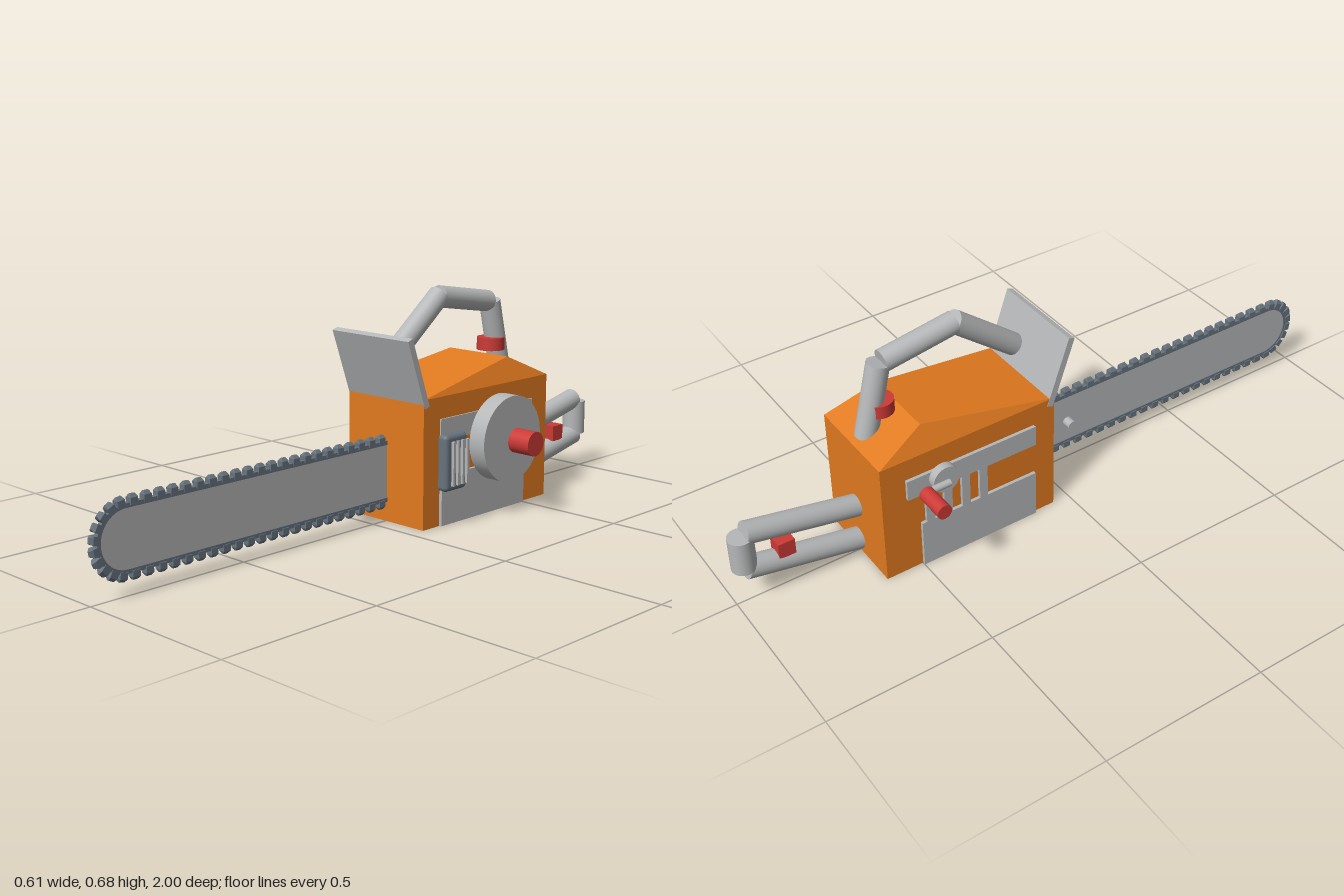
import * as THREE from 'three';
import { RoundedBoxGeometry } from 'three/addons/geometries/RoundedBoxGeometry.js';
import { ConvexGeometry } from 'three/addons/geometries/ConvexGeometry.js';

const paint = (name, color) => Object.assign(new THREE.MeshStandardMaterial({ color }), { name });

export function createModel() {
  const orange = paint('orange casing', 0xe27a20);
  const grey = paint('light grey', 0xb6b7b8);
  const slate = paint('slate steel', 0x67737e);
  const red = paint('red grips', 0xcc3a36);
  const model = new THREE.Group();
  model.name = 'chainsaw';
  const V = (x, y, z) => new THREE.Vector3(x, y, z);

  const add = (name, geometry, material, x = 0, y = 0, z = 0, parent = model) => {
    const mesh = new THREE.Mesh(geometry, material);
    mesh.name = name;
    mesh.position.set(x, y, z);
    parent.add(mesh);
    return mesh;
  };
  // Box given by its limits on each axis
  const block = (name, mat, x0, x1, y0, y1, z0, z1) =>
    add(name, new THREE.BoxGeometry(x1 - x0, y1 - y0, z1 - z0), mat,
      (x0 + x1) / 2, (y0 + y1) / 2, (z0 + z1) / 2);
  // Cylinder from point a to point b
  const rod = (name, mat, a, b, r, sides = 32) => {
    const dir = b.clone().sub(a);
    const mid = a.clone().add(b).multiplyScalar(0.5);
    const mesh = add(name, new THREE.CylinderGeometry(r, r, dir.length(), sides), mat, mid.x, mid.y, mid.z);
    mesh.quaternion.setFromUnitVectors(V(0, 1, 0), dir.normalize());
    return mesh;
  };

  // Casing: box with a narrowed ridge on top
  const corners = [];
  for (const s of [-1, 1]) {
    for (const z of [-0.053, -0.615]) corners.push(V(0.15 * s, 0, z), V(0.15 * s, 0.385, z));
    corners.push(V(0.115 * s, 0.455, -0.465));
  }
  add('casing', new ConvexGeometry(corners), orange);

  // Side plates and trim on both sides
  for (const s of [-1, 1]) {
    const side = (name, depth, y0, y1, z0, z1) =>
      block(name, grey, Math.min(s * 0.149, s * depth), Math.max(s * 0.149, s * depth), y0, y1, z0, z1);
    side('lowerSidePlate', 0.16, 0.001, 0.152, -0.5, -0.122);
    side('upperSideStrip', s > 0 ? 0.155 : 0.16, 0.255, 0.32, -0.54, -0.122);
    if (s < 0) for (let i = 0; i < 4; i++) {
      const z = -0.485 + i * 0.058;
      side('coolingFin', 0.16, 0.15, 0.256, z, z + 0.026);
    }
  }

  // Hand guard, leaning forward
  const guard = add('handGuard', new THREE.BoxGeometry(0.302, 0.216, 0.02), grey, 0, 0.463, -0.031);
  guard.rotation.x = 0.34;

  // Top handle
  const R = 0.033;
  rod('topHandleFront', grey, V(0, 0.497, -0.088), V(0, 0.65, -0.282), R);
  rod('topHandleMiddle', grey, V(0, 0.646, -0.278), V(0, 0.61, -0.505), R);
  rod('topHandleRear', grey, V(0, 0.61, -0.515), V(0, 0.39, -0.568), R);
  rod('topHandleCuff', red, V(0, 0.457, -0.523), V(0, 0.496, -0.523), 0.043);

  // Rear handle and trigger
  rod('rearHandleUpper', grey, V(0, 0.165, -0.615), V(0, 0.236, -0.952), R);
  rod('rearHandleLower', grey, V(0, 0.044, -0.615), V(0, 0.115, -0.958), R);
  rod('rearHandleEnd', grey, V(0, 0.12, -0.963), V(0, 0.228, -0.963), 0.036);
  block('trigger', red, -0.025, 0.025, 0.115, 0.165, -0.87, -0.82);

  // Starter drum and knob
  rod('starterDrum', grey, V(0.16, 0.23, -0.373), V(0.216, 0.23, -0.373), 0.131, 48);
  rod('starterKnob', red, V(0.228, 0.228, -0.375), V(0.302, 0.228, -0.375), 0.037);
  rod('starterShaft', grey, V(0.15, 0.23, -0.373), V(0.17, 0.23, -0.373), 0.03);

  // Exhaust box with a row of thin bars
  add('exhaustBox', new RoundedBoxGeometry(0.05, 0.17, 0.096, 3, 0.014), slate, 0.155, 0.19, -0.165);
  for (let i = 0; i < 4; i++) {
    const z = -0.2 + i * 0.02;
    block('exhaustBar', grey, 0.184, 0.193, 0.124, 0.256, z - 0.0045, z + 0.0045);
  }

  // Crank on the other side
  rod('crankDisc', grey, V(-0.195, 0.305, -0.437), V(-0.17, 0.305, -0.437), 0.041);
  rod('crankArm', grey, V(-0.208, 0.304, -0.435), V(-0.208, 0.304, -0.51), 0.0105, 20);
  rod('crankGrip', red, V(-0.303, 0.304, -0.511), V(-0.21, 0.304, -0.511), 0.022);

  // Guide bar and chain share a round-nosed outline
  const CY = 0.152, TIP = 0.887, BACK = -0.06;
  const outline = (Path, r) => {
    const p = new Path();
    p.moveTo(BACK, -r);
    p.lineTo(TIP, -r);
    p.absarc(TIP, 0, r, -Math.PI / 2, Math.PI / 2, false);
    p.lineTo(BACK, r);
    p.closePath();
    return p;
  };
  const extrude = (shape, width) => {
    const g = new THREE.ExtrudeGeometry(shape, { depth: width, bevelEnabled: false, curveSegments: 24 });
    g.translate(0, 0, -width / 2);
    g.rotateY(-Math.PI / 2);
    return g;
  };
  add('guideBar', extrude(outline(THREE.Shape, 0.082), 0.01), grey, 0, CY);
  const band = outline(THREE.Shape, 0.092);
  band.holes.push(outline(THREE.Path, 0.08));
  add('chainBand', extrude(band, 0.015), slate, 0, CY);

  // Chain teeth: blocks with a tapered top
  const tooth = new THREE.BoxGeometry(0.021, 0.027, 0.023, 1, 2, 1).toNonIndexed();
  const pos = tooth.attributes.position;
  for (let i = 0; i < pos.count; i++) {
    if (pos.getY(i) > 0.01) {
      pos.setX(i, pos.getX(i) * 0.3);
      pos.setZ(i, pos.getZ(i) * 0.65);
    } else if (pos.getY(i) > -0.01) pos.setY(i, 0.005);
  }
  tooth.computeVertexNormals();
  const chain = new THREE.Group();
  chain.name = 'chainTeeth';
  model.add(chain);
  const STRAIGHT = 22, NOSE = 10, MID = 0.099;
  for (let i = 0; i < STRAIGHT; i++) {
    const z = -0.03 + i * 0.0425;
    add('tooth', tooth, slate, 0, CY + MID, z, chain);
    add('tooth', tooth, slate, 0, CY - MID, z, chain).rotation.x = Math.PI;
  }
  for (let i = 0; i < NOSE; i++) {
    const a = Math.PI * (i + 0.5) / NOSE;
    add('tooth', tooth, slate, 0, CY + MID * Math.cos(a), TIP + MID * Math.sin(a), chain).rotation.x = a;
  }

  // Bar nuts
  for (const z of [0.02, 0.092])
    rod('barNut', grey, V(-0.045, CY, z), V(-0.016, CY, z), 0.0145, 20);

  return model;
}
